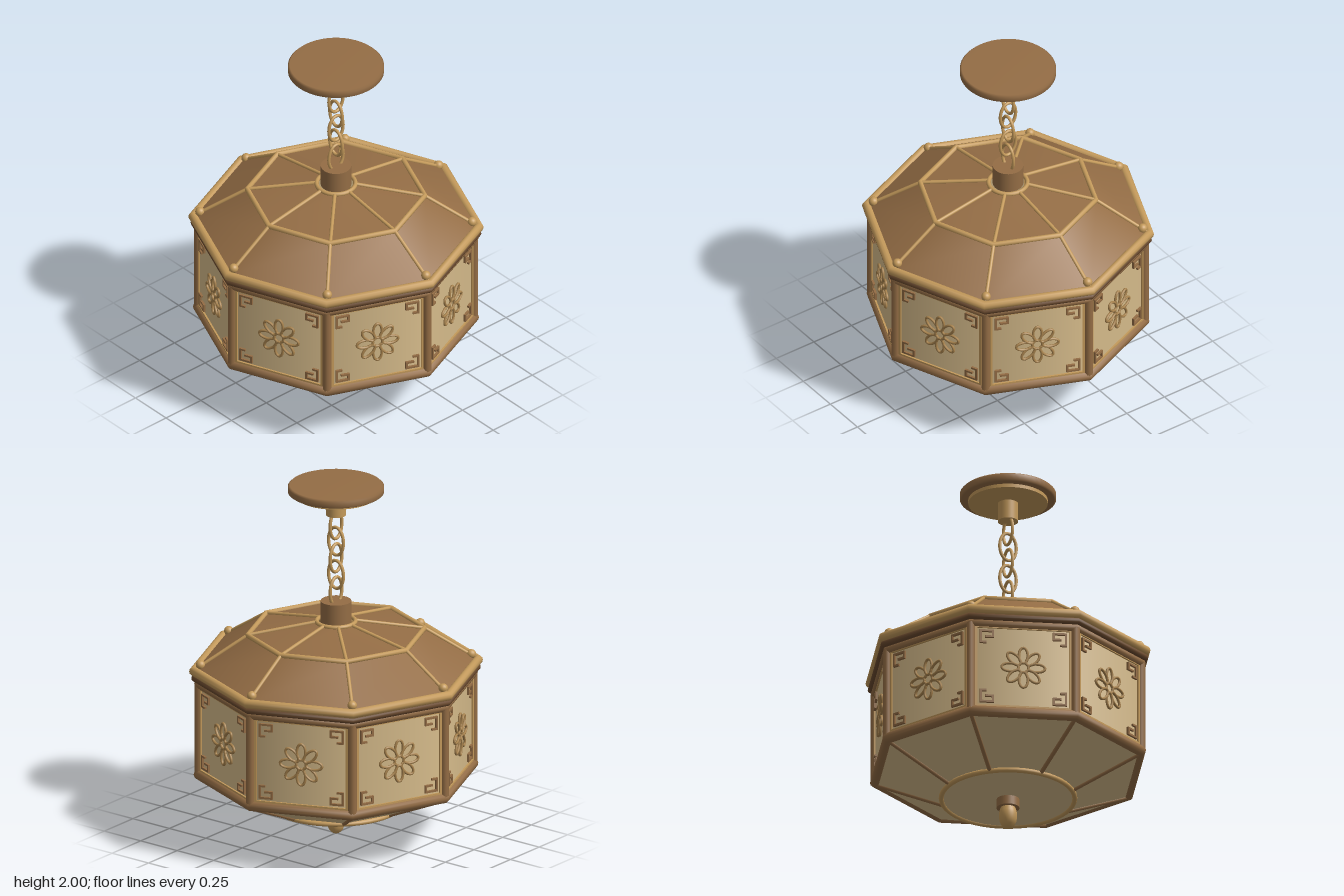
import * as THREE from 'three';

const mat = (name, color) => {
  const m = new THREE.MeshStandardMaterial({ color, side: THREE.DoubleSide });
  m.name = name;
  return m;
};

export function createModel() {
  const root = new THREE.Group();
  root.name = 'pendantLantern';
  const bronze = mat('bronze', 0x946d45);
  const gold = mat('antique gold', 0xc49a5b);
  const darkBronze = mat('dark bronze', 0x6b4a2e);
  const oldBrass = mat('old brass', 0xa8834e);
  const glass = mat('cream glass', 0xd8bd8c);

  const add = (name, geo, m, parent = root, x = 0, y = 0, z = 0) => {
    const mesh = new THREE.Mesh(geo, m);
    mesh.name = name;
    mesh.position.set(x, y, z);
    parent.add(mesh);
    return mesh;
  };
  // round bar between two points
  const bar = (name, a, b, r, m, parent = root) => {
    const d = b.clone().sub(a);
    const mesh = add(name, new THREE.CylinderGeometry(r, r, d.length(), 10), m, parent);
    mesh.position.copy(a).add(b).multiplyScalar(0.5);
    mesh.quaternion.setFromUnitVectors(new THREE.Vector3(0, 1, 0), d.normalize());
    return mesh;
  };
  // horizontal ring; eight sides by default, with corners on the axes
  const ring = (name, R, r, y, m, sides = 8) =>
    add(name, new THREE.TorusGeometry(R, r, 12, sides).rotateX(Math.PI / 2), m, root, 0, y);
  // upright elliptical wire loop
  const loop = (rx, ry, r, n = 32) => {
    const pts = [];
    for (let i = 0; i < 16; i++) {
      const a = (i / 16) * Math.PI * 2;
      pts.push(new THREE.Vector3(Math.cos(a) * rx, Math.sin(a) * ry, 0));
    }
    return new THREE.TubeGeometry(new THREE.CatmullRomCurve3(pts, true), n, r, 8, true);
  };
  const polar = (R, a, y) => new THREE.Vector3(Math.sin(a) * R, y, Math.cos(a) * R);
  const lathe = (pts, n = 48) => new THREE.LatheGeometry(pts.map(p => new THREE.Vector2(...p)), n);

  // ceiling canopy
  add('canopy', lathe([[0, 1.953], [0.25, 1.953], [0.26, 1.96], [0.26, 1.99], [0.25, 2], [0, 2]]), bronze);
  add('canopyStep', new THREE.CylinderGeometry(0.215, 0.215, 0.02, 48), gold, root, 0, 1.943);
  add('canopyCup', new THREE.CylinderGeometry(0.055, 0.055, 0.11, 32), gold, root, 0, 1.882);

  // chain of alternating links
  const link = loop(0.051, 0.08, 0.009);
  for (let i = 0; i < 5; i++) {
    add('chainLink', link, gold, root, 0, 1.77 - i * 0.095).rotation.y = (i % 2) * Math.PI / 2;
  }

  // roof
  add('roofCap', new THREE.CylinderGeometry(0.083, 0.083, 0.12, 32), bronze, root, 0, 1.275);
  ring('roofCollar', 0.105, 0.012, 1.217, gold, 40);
  add('upperRoof', new THREE.CylinderGeometry(0.1, 0.48, 0.062, 8, 1, true), bronze, root, 0, 1.184);
  add('lowerRoof', new THREE.CylinderGeometry(0.48, 0.775, 0.19, 8, 1, true), bronze, root, 0, 1.058);
  ring('roofBreakRing', 0.48, 0.015, 1.155, gold);

  // eaves and rails
  ring('eaveRim', 0.772, 0.026, 0.962, gold);
  ring('eaveShadowBand', 0.767, 0.019, 0.922, darkBronze);
  ring('topRail', 0.745, 0.025, 0.89, bronze);
  ring('bottomRail', 0.743, 0.03, 0.37, bronze);

  // glass body and bowl
  add('sidePanels', new THREE.CylinderGeometry(0.745, 0.745, 0.52, 8, 1, true), glass, root, 0, 0.63);
  add('bowl', new THREE.CylinderGeometry(0.74, 0.36, 0.17, 8, 1, true), glass, root, 0, 0.268);
  add('bowlDisc', new THREE.CylinderGeometry(0.365, 0.365, 0.008, 48), glass, root, 0, 0.183);
  ring('bowlRing', 0.36, 0.014, 0.182, gold, 48);

  // finial
  add('finialCollar', new THREE.CylinderGeometry(0.062, 0.062, 0.05, 32), bronze, root, 0, 0.147);
  add('finial', lathe([[0, 0.002], [0.02, 0.007], [0.036, 0.022], [0.046, 0.045], [0.05, 0.075],
    [0.047, 0.1], [0.04, 0.125]], 32), gold);

  // posts, ribs and knobs at each corner
  const knob = new THREE.SphereGeometry(0.026, 16, 12);
  for (let i = 0; i < 8; i++) {
    const a = i * Math.PI / 4;
    bar('cornerPost', polar(0.745, a, 0.38), polar(0.745, a, 0.89), 0.024, bronze);
    bar('lowerRoofRib', polar(0.76, a, 0.974), polar(0.48, a, 1.157), 0.01, gold);
    bar('upperRoofRib', polar(0.48, a, 1.157), polar(0.1, a, 1.218), 0.01, gold);
    bar('bowlRib', polar(0.735, a, 0.352), polar(0.36, a, 0.184), 0.012, bronze);
    add('roofKnob', knob, gold).position.copy(polar(0.735, a, 0.997));
  }

  // ornament on each side panel
  const petal = loop(0.024, 0.046, 0.0075, 28);
  const frets = [[0.026, -0.067], [0, -0.067], [0, 0], [0.067, 0], [0.067, -0.034], [0.03, -0.034]];
  for (let i = 0; i < 8; i++) {
    const panel = new THREE.Group();
    panel.name = 'panelOrnament';
    panel.rotation.y = (i + 0.5) * Math.PI / 4;
    root.add(panel);
    const z = 0.69;

    // thin frame
    for (const s of [-1, 1]) {
      add('frameSide', new THREE.BoxGeometry(0.012, 0.48, 0.016), gold, panel, s * 0.256, 0.635, z);
      add('frameRail', new THREE.BoxGeometry(0.52, 0.014, 0.016), gold, panel, 0, 0.635 + s * 0.235, z);
    }

    // rosette
    const rosette = new THREE.Group();
    rosette.name = 'rosette';
    rosette.position.set(0, 0.635, z + 0.006);
    panel.add(rosette);
    for (let p = 0; p < 8; p++) {
      const t = p * Math.PI / 4;
      add('petal', petal, oldBrass, rosette, -Math.sin(t) * 0.072, Math.cos(t) * 0.072).rotation.z = t;
    }
    add('rosetteCentre', new THREE.TorusGeometry(0.028, 0.007, 8, 24), oldBrass, rosette);

    // corner frets, mirrored four ways
    for (const sx of [-1, 1]) for (const sy of [-1, 1]) {
      for (let k = 0; k < frets.length - 1; k++) {
        const [x0, y0] = frets[k], [x1, y1] = frets[k + 1];
        const geo = new THREE.BoxGeometry(Math.abs(x1 - x0) + 0.011, Math.abs(y1 - y0) + 0.011, 0.014);
        add('cornerFret', geo, bronze, panel, sx * (0.232 - (x0 + x1) / 2),
          0.635 + sy * (0.21 + (y0 + y1) / 2), z + 0.004);
      }
    }
  }
  return root;
}
